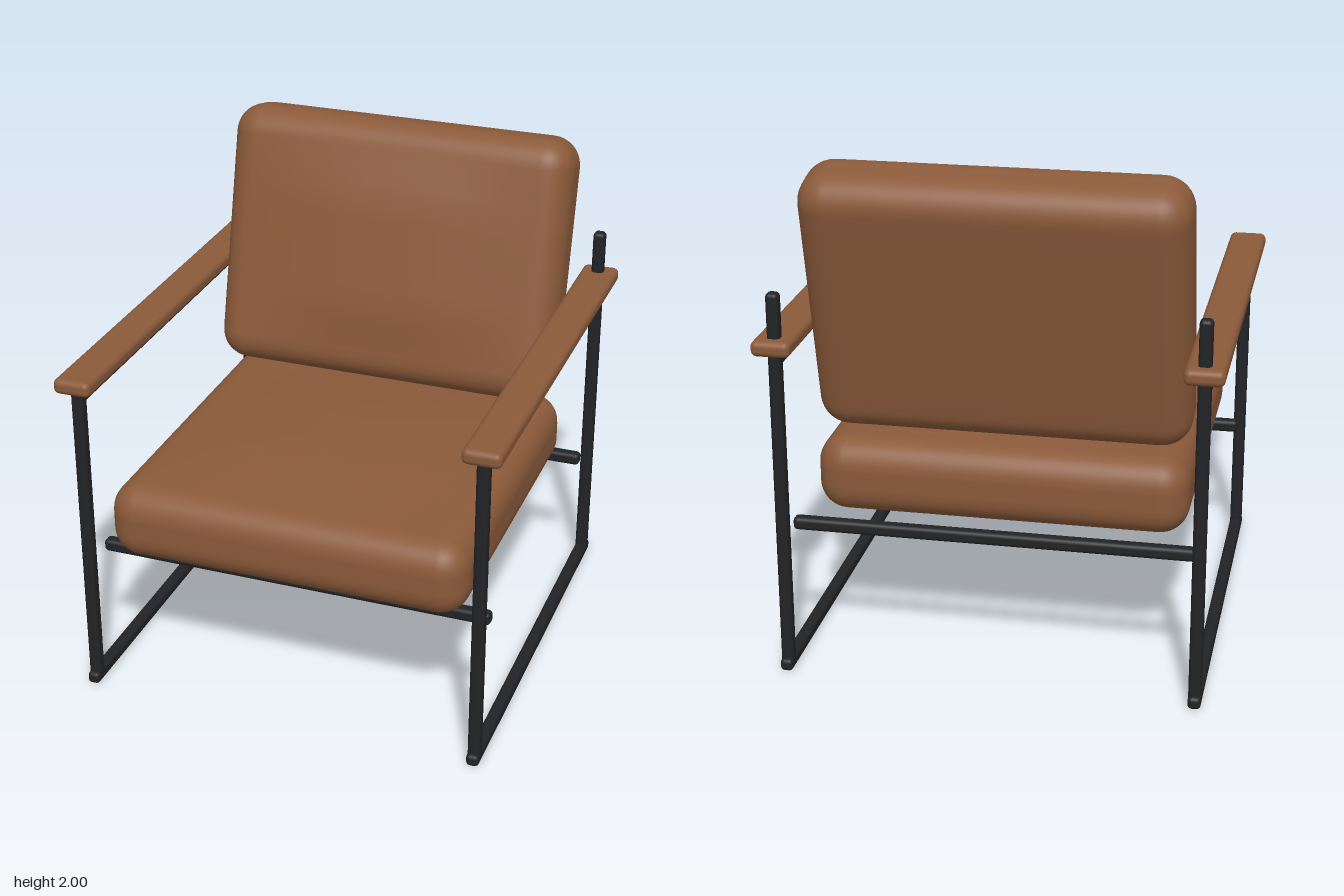
import * as THREE from 'three';
import { mergeVertices } from 'three/addons/utils/BufferGeometryUtils.js';
import { RoundedBoxGeometry } from 'three/addons/geometries/RoundedBoxGeometry.js';

const leather = new THREE.MeshStandardMaterial({ name: 'brown leather', color: 0x8b5a3a });
const metal = new THREE.MeshStandardMaterial({ name: 'black metal', color: 0x222326 });

// Softly rounded block whose +y face swells into a shallow crown
function cushionGeometry(w, h, d, r, crown) {
  const edge = 5, inner = 12, n = edge * 2 + inner;
  const geo = new THREE.BoxGeometry(w, h, d, n, n, n);
  geo.deleteAttribute('uv');
  geo.deleteAttribute('normal');
  const pos = geo.attributes.position;
  const p = new THREE.Vector3(), core = new THREE.Vector3(), out = new THREE.Vector3();
  const limit = new THREE.Vector3(w / 2 - r, h / 2 - r, d / 2 - r);

  // Concentrate the grid lines in the rounded margins
  const spread = (v, size) => {
    const k = Math.round((v / size + 0.5) * n);
    if (k <= edge) return -size / 2 + (r * k) / edge;
    if (k >= n - edge) return size / 2 - (r * (n - k)) / edge;
    return -size / 2 + r + ((size - 2 * r) * (k - edge)) / inner;
  };
  const swell = (v, half) => THREE.MathUtils.clamp((half - Math.abs(v)) / (half - 0.22), 0, 1);

  for (let i = 0; i < pos.count; i++) {
    p.fromBufferAttribute(pos, i);
    p.set(spread(p.x, w), spread(p.y, h), spread(p.z, d));
    core.copy(p).clamp(limit.clone().negate(), limit);
    out.copy(p).sub(core).normalize();
    p.copy(core).addScaledVector(out, r);
    if (out.y > 0.999) p.y += crown * swell(p.x, limit.x) * swell(p.z, limit.z);
    pos.setXYZ(i, p.x, p.y, p.z);
  }
  const smooth = mergeVertices(geo);
  smooth.computeVertexNormals();
  return smooth;
}

export function createModel() {
  const chair = new THREE.Group();
  chair.name = 'loungeChair';

  const add = (parent, name, geo, mat, x, y, z) => {
    const mesh = new THREE.Mesh(geo, mat);
    mesh.name = name;
    mesh.position.set(x, y, z);
    parent.add(mesh);
    return mesh;
  };
  const bar = (parent, name, w, h, d, x, y, z) =>
    add(parent, name, new RoundedBoxGeometry(w, h, d, 3, 0.017), metal, x, y, z);

  // Cushions
  add(chair, 'seatCushion', cushionGeometry(1.45, 0.31, 1.445, 0.115, 0.035), leather, 0, 0.735, 0.088);
  const back = add(chair, 'backCushion', cushionGeometry(1.45, 0.31, 1.085, 0.12, 0.03), leather, 0, 1.46, -0.545);
  back.rotation.x = Math.PI / 2 - 0.24;

  // Side frames with armrests
  for (const side of [1, -1]) {
    const frame = new THREE.Group();
    frame.name = side > 0 ? 'leftFrame' : 'rightFrame';
    const x = side * 0.796;
    bar(frame, 'frontPost', 0.05, 1.305, 0.05, x, 0.6575, 0.817);
    bar(frame, 'backPost', 0.05, 1.54, 0.05, x, 0.775, -0.817);
    bar(frame, 'floorRail', 0.05, 0.05, 1.72, x, 0.028, 0);
    bar(frame, 'armRail', 0.05, 0.05, 1.68, x, 1.284, 0);
    add(frame, 'armrest', new RoundedBoxGeometry(0.15, 0.062, 1.765, 4, 0.024), leather, side * 0.798, 1.34, -0.003);
    chair.add(frame);
  }

  // Cross bars under the seat
  bar(chair, 'frontCrossBar', 1.6, 0.052, 0.052, 0, 0.556, 0.662);
  bar(chair, 'backCrossBar', 1.6, 0.052, 0.052, 0, 0.556, -0.662);

  return chair;
}
